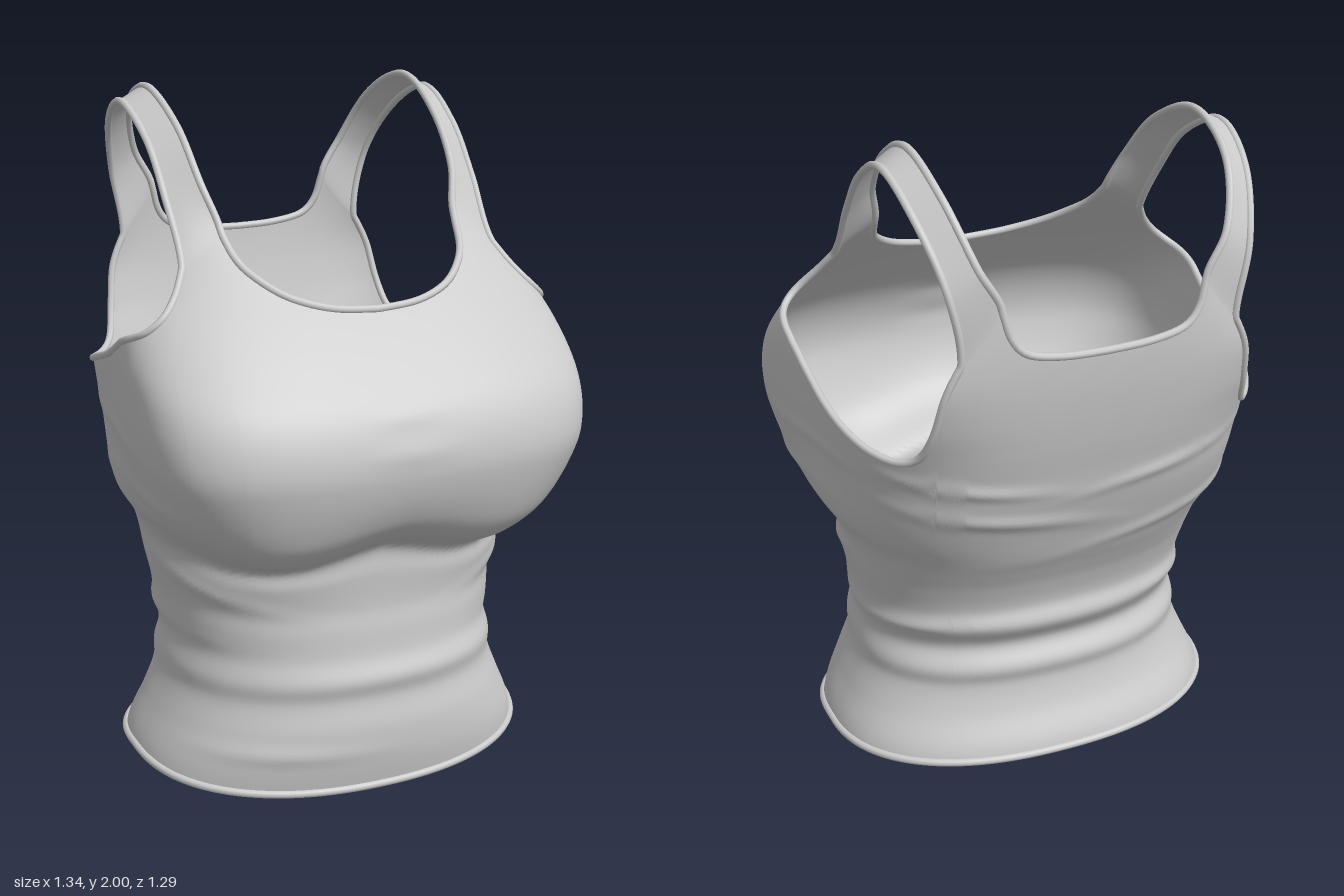
import * as THREE from 'three';
import { mergeGeometries, mergeVertices } from 'three/addons/utils/BufferGeometryUtils.js';

const RAD = Math.PI / 180;
const gauss = (d, s) => Math.exp(-((d / s) ** 2));
const { smoothstep } = THREE.MathUtils;

// Torso sections: y, half width, front z, back z, centre z, front and back squareness
const SECTIONS = [
  [0.0, 0.625, 0.44, -0.43, 0, 2.3, 2.3],
  [0.1, 0.6, 0.46, -0.415, 0, 2.3, 2.3],
  [0.2, 0.555, 0.465, -0.37, 0, 2.3, 2.3],
  [0.29, 0.52, 0.452, -0.352, 0, 2.3, 2.3],
  [0.35, 0.516, 0.46, -0.365, 0, 2.3, 2.3],
  [0.42, 0.502, 0.442, -0.337, 0, 2.3, 2.3],
  [0.5, 0.513, 0.435, -0.38, 0, 2.3, 2.3],
  [0.56, 0.518, 0.428, -0.368, 0, 2.3, 2.4],
  [0.65, 0.535, 0.435, -0.395, 0, 2.4, 2.5],
  [0.72, 0.543, 0.445, -0.43, 0, 2.4, 2.6],
  [0.775, 0.565, 0.53, -0.46, 0.05, 2.8, 2.7],
  [0.85, 0.613, 0.59, -0.49, 0.12, 3.1, 2.9],
  [1.0, 0.655, 0.638, -0.545, 0.2, 3.35, 3.3],
  [1.1, 0.668, 0.635, -0.57, 0.21, 3.35, 3.4],
  [1.2, 0.669, 0.595, -0.595, 0.18, 3.3, 3.6],
  [1.3, 0.665, 0.515, -0.615, 0.1, 3.1, 3.9],
  [1.4, 0.638, 0.42, -0.63, 0.01, 3, 4],
  [1.5, 0.572, 0.315, -0.638, -0.05, 3, 4],
  [1.6, 0.52, 0.21, -0.638, -0.08, 3, 4],
  [1.7, 0.5, 0.13, -0.63, -0.1, 3, 4],
];

// Cloth folds: angle, height, half length (degrees), half width, depth, slope per degree
const FOLDS = [
  [20, 0.36, 40, 0.03, 0.012, 0.0003], [-30, 0.14, 25, 0.025, 0.014, -0.0005],
  [60, 0.62, 25, 0.025, 0.018, 0.002], [-60, 0.62, 25, 0.025, 0.018, -0.002],
  [80, 0.9, 22, 0.022, 0.012, 0.001], [-80, 0.92, 22, 0.022, 0.012, -0.001],
  [105, 1.07, 20, 0.022, 0.01, 0.001], [-105, 1.07, 20, 0.022, 0.01, -0.001],
  [160, 0.95, 22, 0.022, 0.016, -0.002], [-150, 0.85, 25, 0.022, 0.016, 0.002],
  [150, 1.08, 18, 0.02, 0.014, -0.002], [-160, 1.06, 18, 0.02, 0.014, 0.002],
  [0, 1.08, 10, 0.03, 0.01, 0], [0, 1.18, 8, 0.025, 0.01, 0],
  [110, 0.49, 45, 0.022, 0.016, 0.0006], [-110, 0.49, 45, 0.022, 0.016, -0.0006],
];

// Smooth interpolation of the section values at height y
function section(y) {
  let i = 0;
  while (i < SECTIONS.length - 2 && SECTIONS[i + 1][0] < y) i++;
  const p = SECTIONS[i], q = SECTIONS[i + 1];
  const o = SECTIONS[Math.max(i - 1, 0)], r = SECTIONS[Math.min(i + 2, SECTIONS.length - 1)];
  const h = q[0] - p[0], t = Math.min(1, Math.max(0, (y - p[0]) / h));
  return p.map((v, k) => {
    const m0 = (q[k] - o[k]) / (q[0] - o[0]) * h, m1 = (r[k] - v) / (r[0] - p[0]) * h;
    return v + t * m0 + t * t * (3 * (q[k] - v) - 2 * m0 - m1) + t ** 3 * (2 * (v - q[k]) + m0 + m1);
  });
}

// Point on the torso; angle 0 is the front, 90 the model's left
function torso(deg, y) {
  const s = Math.sin(deg * RAD), c = Math.cos(deg * RAD);
  // The underbust line hangs lower below each cup
  const cup = gauss(Math.abs(deg) - 36, 24);
  const ys = y + gauss(y - 0.78, 0.14) * Math.max(0, c) * (0.075 * cup - 0.045);
  const [, w, zf, zb, zc, nf, nb] = section(ys);
  const n = c > 0 ? nf : nb;
  let r = (Math.abs(s) ** n + Math.abs(c) ** n) ** (-1 / n);
  for (const [a, fy, len, wid, amp, slope] of FOLDS) {
    let d = deg - a;
    if (d > 180) d -= 360;
    if (d < -180) d += 360;
    r += amp * gauss(d, len) * gauss(y - fy - slope * d, wid);
  }
  const z = zc + (c > 0 ? zf - zc : zc - zb) * r * c;
  // The chest narrows behind the arms
  const taper = 0.045 * smoothstep(-z, -0.22, 0.08) * smoothstep(y, 0.85, 1.05) * (1 - smoothstep(y, 1.3, 1.5));
  return new THREE.Vector3(w * r * s * (1 - taper), y, z);
}

const hemY = deg => 0.07 - 0.058 * Math.max(0, Math.cos(deg * RAD)) ** 1.3;

// Upper edge of the torso as (angle, height)
const edge = (pts, n) => new THREE.SplineCurve(pts.map(p => new THREE.Vector2(...p))).getPoints(n);
const ACROSS = 8;
const frontNeck = edge([[0, 1.43], [12, 1.44], [23, 1.473], [32, 1.528], [36.5, 1.572], [39.5, 1.625]], 22);
const frontBase = edge([[39.5, 1.625], [53, 1.54]], ACROSS);
const armEdge = edge([[53, 1.54], [54, 1.475], [56.5, 1.425], [62, 1.39], [69, 1.37], [79, 1.35], [90, 1.325],
  [102, 1.275], [113, 1.235], [122, 1.2], [129, 1.178], [135, 1.173], [139, 1.198], [141.3, 1.265],
  [142.5, 1.37], [143.3, 1.5]], 60);
const backBase = edge([[143.3, 1.5], [149.5, 1.64]], ACROSS);
const backNeck = edge([[149.5, 1.64], [152.5, 1.57], [158, 1.517], [168, 1.495], [180, 1.49]], 20);

// Strap edges over the shoulder, front to back: inner point, outer point
const STRAP = [
  [[0.395, 1.76, 0.07], [0.485, 1.72, 0.03]],
  [[0.408, 1.9, -0.07], [0.488, 1.86, -0.1]],
  [[0.418, 1.99, -0.29], [0.495, 1.95, -0.3]],
  [[0.402, 1.915, -0.5], [0.475, 1.875, -0.475]],
  [[0.352, 1.76, -0.608], [0.432, 1.71, -0.592]],
].map(pair => pair.map(p => new THREE.Vector3(...p)));

// Line along the strap at fraction k / ACROSS from inner to outer edge
function strapLine(k) {
  const f = frontBase[k], b = backBase[ACROSS - k], t = k / ACROSS;
  const pts = [torso(f.x, f.y - 0.1), torso(f.x, f.y),
    ...STRAP.map(([p, q]) => p.clone().lerp(q, t)),
    torso(b.x, b.y), torso(b.x, b.y - 0.1)];
  const curve = new THREE.CatmullRomCurve3(pts), n = pts.length - 1, line = [];
  for (let i = 0; i <= 48; i++) line.push(curve.getPoint((1 + (n - 2) * i / 48) / n));
  line[0] = pts[1];
  line[48] = pts[n - 1];
  return line;
}

const mirror = p => new THREE.Vector3(-p.x, p.y, p.z);

// Surface through columns of points
function sheet(columns) {
  const rows = columns[0].length, index = [];
  const pos = columns.flatMap(col => col.flatMap(p => [p.x, p.y, p.z]));
  for (let j = 0; j < columns.length - 1; j++) {
    for (let i = 0; i < rows - 1; i++) {
      const a = j * rows + i, b = a + rows;
      index.push(a, b, b + 1, a, b + 1, a + 1);
    }
  }
  const g = new THREE.BufferGeometry();
  g.setAttribute('position', new THREE.Float32BufferAttribute(pos, 3));
  g.setIndex(index);
  return g;
}

export function createModel() {
  const group = new THREE.Group();
  const cloth = new THREE.MeshStandardMaterial({ color: 0xcccccc, side: THREE.DoubleSide });
  const add = (name, geometry) => {
    const mesh = new THREE.Mesh(geometry, cloth);
    mesh.name = name;
    group.add(mesh);
  };

  // Torso and straps, joined into one smooth garment
  const half = [frontNeck, frontBase, armEdge, backBase, backNeck].flatMap((e, i) => (i ? e.slice(1) : e));
  const around = [...half.slice(1).reverse().map(p => new THREE.Vector2(-p.x, p.y)), ...half];
  const ROWS = 110;
  const columns = around.map(({ x, y }) => {
    const y0 = hemY(x);
    return Array.from({ length: ROWS + 1 }, (_, i) => torso(x, y0 + (y - y0) * i / ROWS));
  });
  const lines = Array.from({ length: ACROSS + 1 }, (_, k) => strapLine(k));
  const mirrored = lines.map(l => l.map(mirror)).reverse();
  const garment = mergeVertices(mergeGeometries([sheet(columns), sheet(lines), sheet(mirrored)]), 1e-4);
  garment.computeVertexNormals();
  add('garmentBody', garment);

  // Rolled bindings along the openings
  const binding = (name, pts, radius) => {
    const curve = new THREE.CatmullRomCurve3(pts, true);
    add(name, new THREE.TubeGeometry(curve, 220, radius, 8, true));
  };
  const onTorso = e => e.map(p => torso(p.x, p.y));
  const neck = [...onTorso(frontNeck), ...lines[0].slice(1), ...onTorso(backNeck).slice(1)];
  binding('necklineBinding', [...neck, ...neck.slice(1, -1).reverse().map(mirror)], 0.011);
  const arm = [...onTorso(armEdge), ...lines[ACROSS].slice(1, -1).reverse()];
  binding('leftArmholeBinding', arm, 0.011);
  binding('rightArmholeBinding', arm.map(mirror), 0.011);
  const hem = Array.from({ length: 72 }, (_, i) => torso(i * 5 - 180, hemY(i * 5 - 180)));
  binding('hemBinding', hem, 0.012);

  return group;
}
